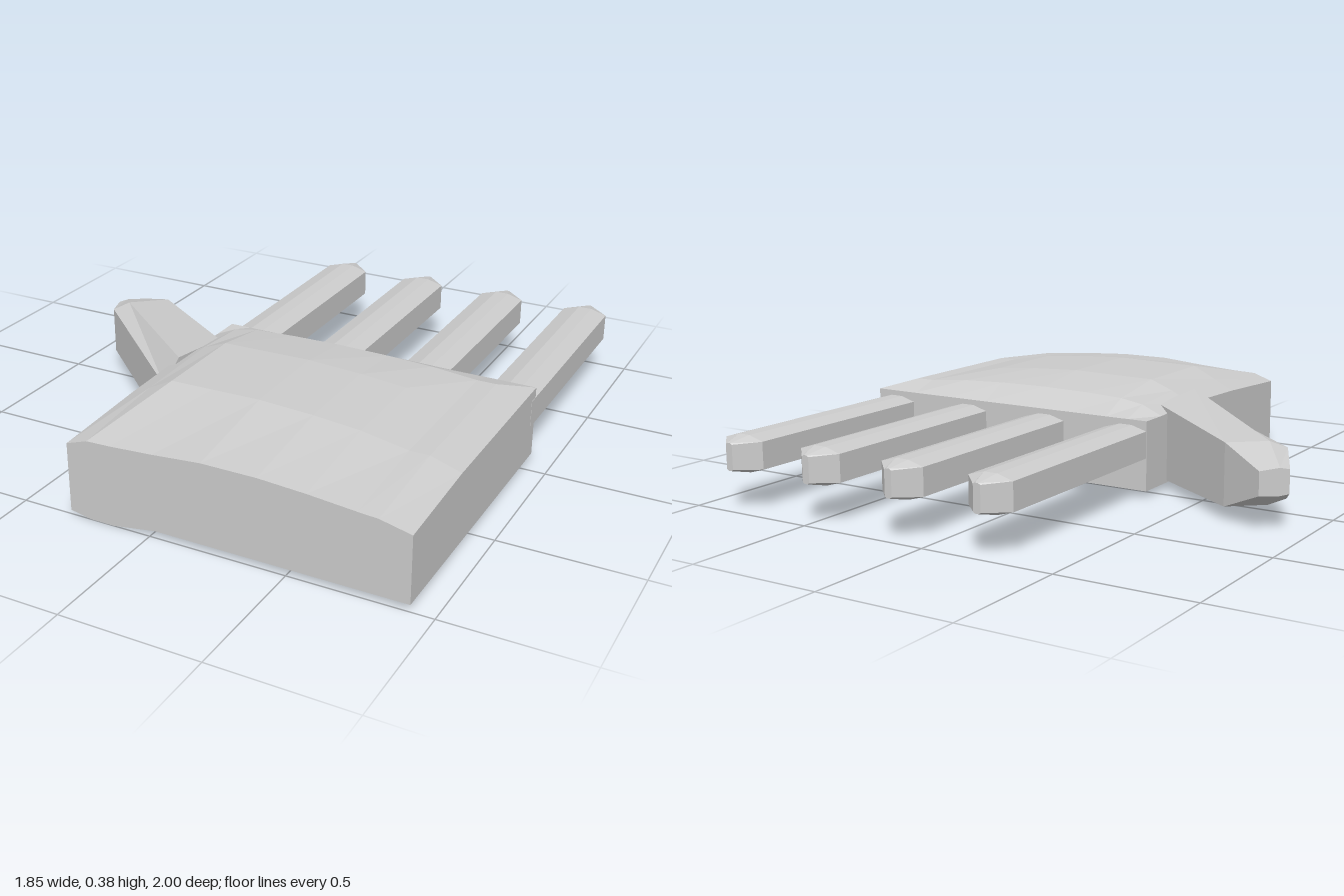
import * as THREE from 'three';

// Skin a list of cross-sections. Each lists its upper points, then its lower points in reverse.
function loft(name, rings, material) {
  const pos = [];
  const quad = (a, b, c, d) => pos.push(...a, ...b, ...c, ...a, ...c, ...d);
  const n = rings[0].length;
  for (let k = 0; k < rings.length - 1; k++) {
    for (let i = 0; i < n; i++) {
      const j = (i + 1) % n;
      quad(rings[k][i], rings[k][j], rings[k + 1][j], rings[k + 1][i]);
    }
  }
  const first = rings[0], last = rings[rings.length - 1];
  for (let i = 0; i < n / 2 - 1; i++) {
    quad(first[i], first[n - 1 - i], first[n - 2 - i], first[i + 1]);
    quad(last[i], last[i + 1], last[n - 2 - i], last[n - 1 - i]);
  }
  const geometry = new THREE.BufferGeometry();
  geometry.setAttribute('position', new THREE.Float32BufferAttribute(pos, 3));
  geometry.computeVertexNormals();
  const mesh = new THREE.Mesh(geometry, material);
  mesh.name = name;
  return mesh;
}

export function createModel() {
  const group = new THREE.Group();
  group.name = 'hand';
  const grey = new THREE.MeshStandardMaterial({ color: 0xcccccc, flatShading: true });
  grey.name = 'plain grey';

  // Palm: heights of the domed back and the padded underside, row by row from wrist to knuckles
  const xs = [-0.31, -0.23, -0.14, 0.02, 0.2, 0.4, 0.57, 0.74, 0.81, 0.92];
  const rows = [
    { z: 1.0, pad: 1, top: [0.265, 0.292, 0.295, 0.305, 0.32, 0.32, 0.31, 0.295, 0.29, 0.265] },
    { z: 0.62, pad: 1, top: [0.285, 0.325, 0.37, 0.372, 0.375, 0.365, 0.35, 0.32, 0.32, 0.285] },
    { z: 0.26, pad: 0.1, top: [0.295, 0.335, 0.37, 0.372, 0.375, 0.365, 0.35, 0.32, 0.32, 0.285] },
    { z: 0.03, pad: 0, top: [0.285, 0.32, 0.335, 0.342, 0.345, 0.342, 0.335, 0.32, 0.32, 0.285] },
    { z: -0.08, pad: 0, top: xs.map(() => 0.285) },
  ];
  const padDepth = [0.01, 0.025, 0.025, 0, 0, 0, 0, 0, 0, 0];
  group.add(loft('palm', rows.map(({ z, pad, top }) => [
    ...xs.map((x, i) => [x, top[i], z]),
    ...xs.map((x, i) => [x, 0.025 - pad * padDepth[i], z]).reverse(),
  ]), grey));

  // Four straight fingers with bevelled sections and pointed tips
  const fingerRing = (x, z, half, flat, bevelY, topY) => {
    const offsets = [-half, -flat, flat, half];
    const heights = [bevelY, topY, topY, bevelY];
    return [
      ...offsets.map((o, i) => [x + o, 0.1975 + heights[i], z]),
      ...offsets.map((o, i) => [x + o, 0.1975 - heights[i], z]).reverse(),
    ];
  };
  [-0.222, 0.13, 0.483, 0.835].forEach((x, i) => {
    group.add(loft('finger' + (i + 1), [
      fingerRing(x, -0.04, 0.086, 0.025, 0.05, 0.0675),
      fingerRing(x, -0.925, 0.086, 0.025, 0.05, 0.0675),
      fingerRing(x, -1.0, 0.014, 0.006, 0.045, 0.05),
    ], grey));
  });

  // Thumb: slanting out of the side, each section given as [x, z, low y, high y]
  const thumbSections = [
    [[-0.28, 0.455, 0.075, 0.25], [-0.27, 0.37, 0.012, 0.33], [-0.25, 0.12, 0.03, 0.31]],
    [[-0.85, -0.06, 0.07, 0.25], [-0.8, -0.1, 0.05, 0.275], [-0.68, -0.2, 0.05, 0.275]],
    [[-0.925, -0.21, 0.13, 0.215], [-0.9, -0.235, 0.125, 0.222], [-0.85, -0.29, 0.13, 0.215]],
  ];
  group.add(loft('thumb', thumbSections.map((s) => [
    ...s.map(([x, z, , high]) => [x, high, z]),
    ...s.map(([x, z, low]) => [x, low, z]).reverse(),
  ]), grey));

  return group;
}
